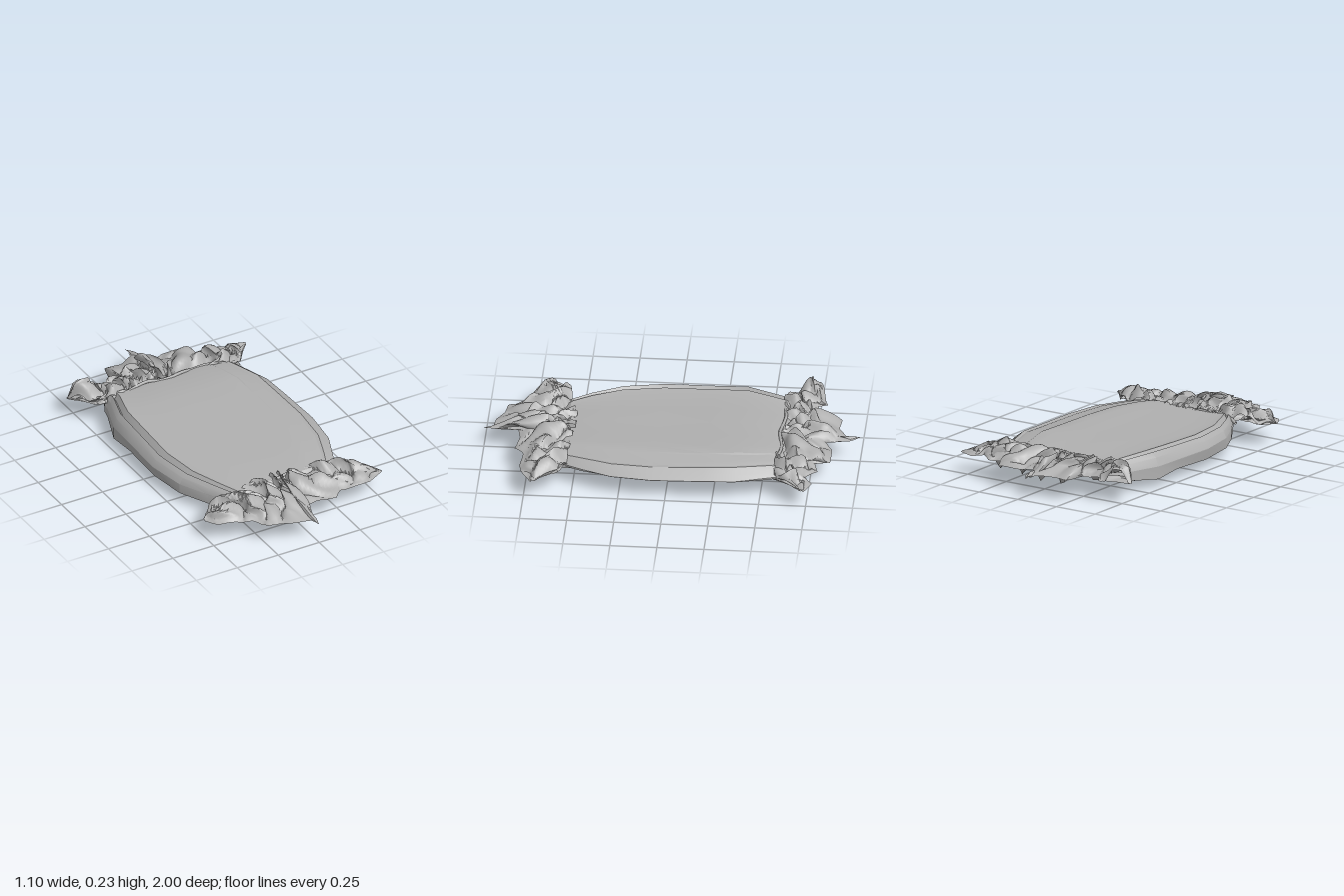
import * as THREE from 'three';
import { toCreasedNormals } from 'three/addons/utils/BufferGeometryUtils.js';

const REST = 0.113; // level on which the frills lie
const material = new THREE.MeshStandardMaterial({ color: 0xb0b0b0, side: THREE.DoubleSide });

// Piecewise linear lookup in rows [key, value, value, ...]
function lookup(rows, t) {
  let i = 0;
  while (i < rows.length - 2 && t > rows[i + 1][0]) i++;
  const a = rows[i], b = rows[i + 1];
  const k = THREE.MathUtils.clamp((t - a[0]) / (b[0] - a[0]), 0, 1);
  return a.slice(1).map((v, n) => v + (b[n + 1] - v) * k);
}

// Surface through rows of points; normals face along (row step) x (column step)
function loft(name, rows, crease) {
  const n = rows[0].length, index = [];
  for (let i = 0; i < rows.length - 1; i++) {
    for (let j = 0; j < n - 1; j++) {
      const a = i * n + j, c = a + n;
      index.push(a, c, a + 1, a + 1, c, c + 1);
    }
  }
  const geometry = new THREE.BufferGeometry();
  geometry.setAttribute('position', new THREE.Float32BufferAttribute(rows.flat(2), 3));
  geometry.setIndex(index);
  const mesh = new THREE.Mesh(toCreasedNormals(geometry, crease), material);
  mesh.name = name;
  return mesh;
}

// Pillow: softly pleated crown, nearly flat underside with one deep fold on the right, ends pinched flat
function makePillow() {
  // z, left edge, right edge, crown scale, underside scale
  const stations = [
    [-0.65, -0.37, 0.38, 0, 0], [-0.59, -0.4, 0.4, 0.85, 0.6], [-0.54, -0.41, 0.415, 1, 0.72],
    [-0.37, -0.47, 0.47, 1.2, 1], [-0.2, -0.475, 0.48, 1.1, 0.75], [0.07, -0.485, 0.49, 1, 0.9],
    [0.29, -0.445, 0.465, 0.95, 0.78], [0.45, -0.365, 0.4, 0.85, 0.72], [0.555, -0.3, 0.35, 0.7, 0.64],
    [0.61, -0.27, 0.33, 0, 0],
  ];
  // fraction of half width, height
  const crown = [
    [-1, 0.11], [-0.96, 0.15], [-0.91, 0.172], [-0.87, 0.145], [-0.82, 0.174], [-0.7, 0.166], [-0.4, 0.172],
    [-0.1, 0.17], [0.2, 0.172], [0.45, 0.176], [0.6, 0.174], [0.63, 0.168], [0.76, 0.165], [0.82, 0.156],
    [0.86, 0.158], [0.94, 0.135], [1, 0.115],
  ];
  // x, depth below the rest level
  const underside = [
    [0.49, 0], [0.44, 0.012], [0.35, 0.034], [0.32, 0.01], [0.13, 0.02], [0.1, 0.008],
    [-0.08, 0.01], [-0.155, 0.024], [-0.2, 0.112], [-0.28, 0.088], [-0.4, 0.078], [-0.47, 0.07], [-0.485, 0],
  ];
  const rows = stations.map(([z, left, right, up, down]) => {
    const ring = crown.map(([s, y]) => [s < 0 ? -s * left : s * right, REST + (y - REST) * up, z]);
    underside.forEach(([x, d]) => ring.push([THREE.MathUtils.clamp(x, left, right), REST - d * down, z]));
    ring.push([...ring[0]]);
    return ring;
  });
  return loft('pillow', rows, 0.4);
}

// Crumpled sheet between an inner and an outer outline: rows of [inner x, inner z, outer x, outer z]
function makeFrill(name, outline, { seed, lift, reach, corner }) {
  const NU = 120, NV = 18, rows = [];
  const keyed = outline.map((r, i) => [i / (outline.length - 1), ...r]);
  const rise = [[0, 0.055], [0.25, 0.088], [0.5, 0.082], [0.72, 0.052], [1, 0.008]];
  for (let i = 0; i <= NV; i++) {
    const v = i / NV, row = [];
    for (let j = 0; j <= NU; j++) {
      const u = j / NU;
      const [xi, zi, xo, zo] = lookup(keyed, u);
      const k = v * reach;
      let x = xi + (xo - xi) * k, z = zi + (zo - zi) * k;
      // broad wandering folds, broken up by smaller ones
      const p = u * 23 + seed + 1.6 * Math.sin(v * 4 + u * 9 + seed);
      const q = u * 43 - v * 8 + seed * 2;
      const fold = 0.65 * Math.abs(Math.sin(p)) + 0.35 * Math.abs(Math.sin(q + Math.sin(v * 6 + u * 5)));
      const edge = Math.min(1, 0.15 + Math.min(u, 1 - u) * 9);
      let y = REST + lookup(rise, v)[0] * lift * fold * edge;
      // upturned corner flap
      if (corner) y += Math.min(0.07, 0.14 * Math.max(0, 1 - Math.hypot((x + 0.47) / 0.07, (z + 0.73) / 0.09)));
      const loose = Math.sin(v * Math.PI) * edge;
      x += 0.026 * Math.sin(2 * p + v * 4) * loose;
      z += 0.024 * Math.cos(q) * loose;
      row.push([x, y, z]);
    }
    rows.push(row);
  }
  // keep the top face upward at both ends
  if (outline[0][3] < 0) rows.reverse();
  return loft(name, rows, 0.8);
}

// Pointed folds hanging under the back frill
function makeHangingFolds() {
  // x, depth below the rest level
  const points = [
    [-0.08, 0], [-0.065, 0.085], [-0.04, 0.097], [-0.01, 0.03], [0.03, 0.045], [0.09, 0.105], [0.14, 0.025],
    [0.17, 0.03], [0.21, 0.087], [0.235, 0.04], [0.26, 0.065], [0.29, 0.012], [0.35, 0.076], [0.42, 0],
  ];
  const rows = [[-0.69, 0], [-0.66, 1], [-0.63, 0.85], [-0.57, 0.12]].map(([z, k]) =>
    points.map(([x, d]) => [x, REST - d * k, z]).reverse());
  return loft('hangingFolds', rows, 0.3);
}

export function createModel() {
  const model = new THREE.Group();
  model.name = 'wrappedPillow';
  model.add(makePillow(), makeHangingFolds());

  const frontOutline = [
    [-0.5, 0.65, -0.51, 0.67], [-0.43, 0.57, -0.47, 0.74], [-0.36, 0.56, -0.37, 0.77], [-0.28, 0.55, -0.29, 0.81],
    [-0.22, 0.54, -0.24, 0.89], [-0.16, 0.52, -0.17, 0.9], [-0.1, 0.51, -0.09, 0.94], [-0.05, 0.51, -0.02, 0.95],
    [-0.02, 0.51, 0, 1], [0.01, 0.51, 0.015, 0.94], [0.04, 0.51, -0.01, 0.82], [0.1, 0.52, 0.1, 0.8],
    [0.2, 0.52, 0.21, 0.82], [0.27, 0.53, 0.26, 0.77], [0.36, 0.53, 0.4, 0.78], [0.43, 0.56, 0.47, 0.76],
    [0.53, 0.68, 0.55, 0.71],
  ];
  const backOutline = [
    [-0.54, -0.72, -0.55, -0.74], [-0.45, -0.6, -0.46, -0.77], [-0.39, -0.57, -0.38, -0.8], [-0.32, -0.57, -0.35, -0.75],
    [-0.25, -0.58, -0.26, -0.78], [-0.2, -0.58, -0.23, -0.89], [-0.12, -0.6, -0.13, -0.88], [-0.06, -0.6, -0.02, -0.94],
    [-0.03, -0.59, -0.05, -1], [0, -0.59, 0, -0.93], [0.03, -0.58, 0.02, -0.82], [0.09, -0.58, 0.1, -0.86],
    [0.18, -0.57, 0.23, -0.86], [0.24, -0.57, 0.25, -0.78], [0.3, -0.57, 0.33, -0.8], [0.37, -0.57, 0.4, -0.74],
    [0.43, -0.59, 0.46, -0.78], [0.53, -0.72, 0.55, -0.74],
  ];
  // each end has a full crumpled sheet over a shorter, flatter one
  for (const [end, outline] of [['front', frontOutline], ['back', backOutline]]) {
    const back = end === 'back';
    model.add(
      makeFrill(end + 'Frill', outline, { seed: back ? 2.3 : 0.6, lift: 1.1, reach: 1, corner: back }),
      makeFrill(end + 'FrillLining', outline, { seed: back ? 5.1 : 3.7, lift: 0.4, reach: 0.9, corner: false }),
    );
  }

  // gathered tucks where the frills meet the pillow
  for (const [name, z, half, y] of [['frontTuck', 0.54, 0.33, 0.152], ['backTuck', -0.585, 0.4, 0.165]]) {
    const path = [];
    for (let i = 0; i <= 12; i++) {
      const s = i / 6 - 1;
      path.push(new THREE.Vector3(s * half, y - 0.035 * s ** 4 + 0.006 * Math.sin(i * 2.1), z + 0.01 * Math.sin(i * 1.3)));
    }
    const tuck = new THREE.Mesh(new THREE.TubeGeometry(new THREE.CatmullRomCurve3(path), 48, 0.009, 6), material);
    tuck.name = name;
    model.add(tuck);
  }
  return model;
}
